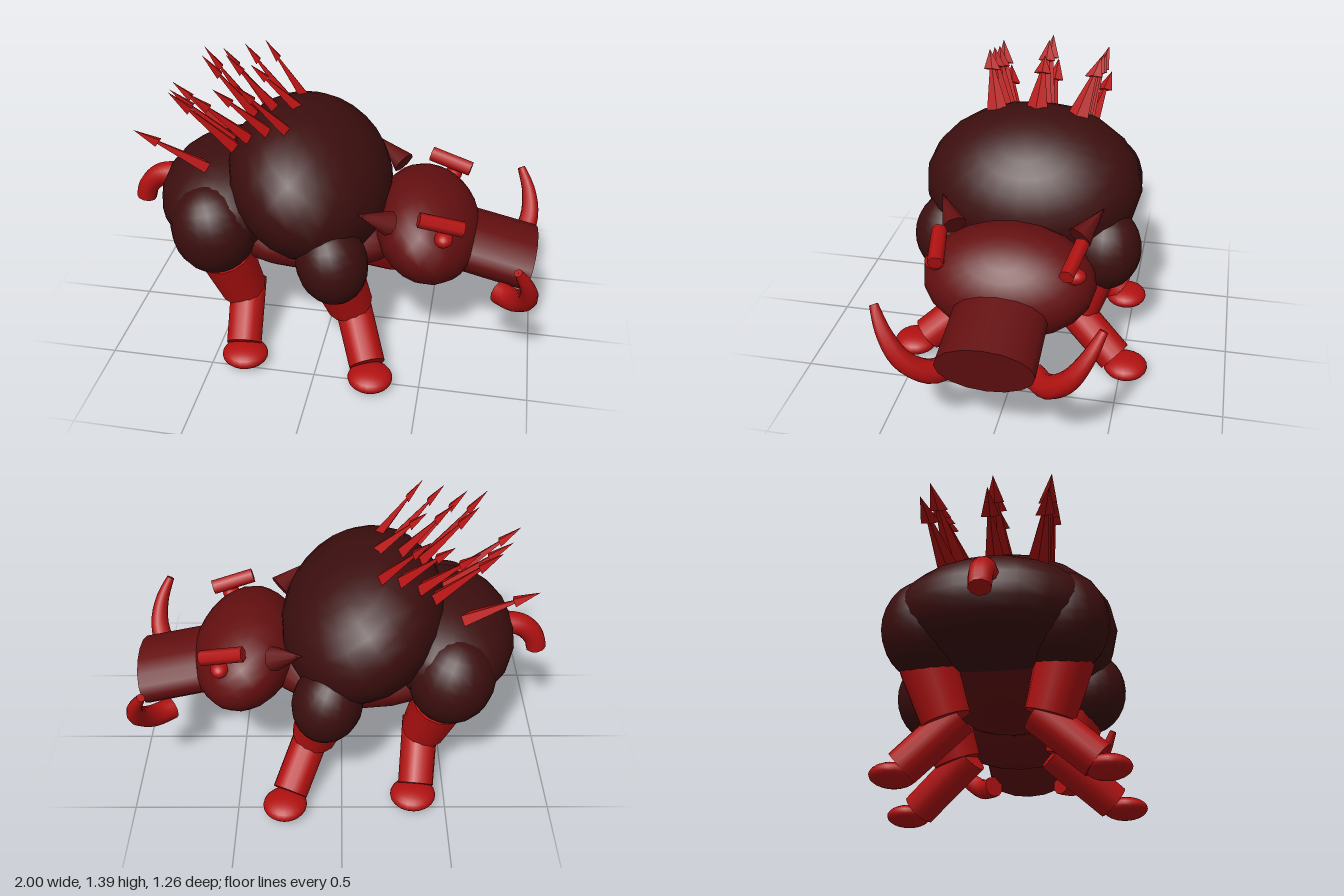
import * as THREE from 'three';
import { toCreasedNormals } from 'three/addons/utils/BufferGeometryUtils.js';

const V = (x, y, z) => new THREE.Vector3(x, y, z);

function material(name, color, extra = {}) {
  const m = new THREE.MeshStandardMaterial({ color, ...extra });
  m.name = name;
  return m;
}

// Tube whose radius follows a rule along its length, with flat closed ends
function taperedTube(points, radius, segments = 16, sides = 10) {
  const curve = new THREE.CatmullRomCurve3(points);
  const geo = new THREE.TubeGeometry(curve, segments, 1, sides);
  const pos = geo.attributes.position;
  const v = V(0, 0, 0);
  for (let i = 0; i <= segments; i++) {
    const end = i === 0 || i === segments;
    const inner = Math.min(Math.max(i, 1), segments - 1);
    const from = curve.getPointAt(i / segments);
    const to = curve.getPointAt(inner / segments);
    const r = end ? 0.0005 : radius(i / segments);
    for (let j = 0; j <= sides; j++) {
      const k = i * (sides + 1) + j;
      v.fromBufferAttribute(pos, k).sub(from).multiplyScalar(r).add(to);
      pos.setXYZ(k, v.x, v.y, v.z);
    }
  }
  return toCreasedNormals(geo, 0.9);
}

// Flat bristle: a tapering stem topped by a wider barbed point
function spikeGeometry(base, tip) {
  const at = (t) => base.clone().lerp(tip, t);
  const d = V(tip.x - base.x, tip.y - base.y, 0).normalize();
  const n = V(-d.y, d.x, 0);
  const neck = at(0.68);
  const rings = [[base, 0.055, 0.024], [neck, 0.014, 0.006], [neck, 0.042, 0.014], [tip, 0.0005, 0.0005]];
  const positions = [];
  const index = [];
  for (const [c, w, t] of rings) {
    for (const [a, b] of [[1, 0], [0, 1], [-1, 0], [0, -1]]) {
      const p = c.clone().addScaledVector(n, a * t);
      positions.push(p.x, p.y, p.z + b * w);
    }
  }
  for (let i = 0; i < rings.length - 1; i++) {
    for (let j = 0; j < 4; j++) {
      const a = i * 4 + j, b = i * 4 + (j + 1) % 4;
      index.push(a, b, b + 4, a, b + 4, a + 4);
    }
  }
  const geo = new THREE.BufferGeometry();
  geo.setAttribute('position', new THREE.Float32BufferAttribute(positions, 3));
  geo.setIndex(index);
  const flat = geo.toNonIndexed();
  flat.computeVertexNormals();
  return flat;
}

export function createModel() {
  const model = new THREE.Group();
  model.name = 'boar';
  const dark = material('dark hide', 0x3c0e0e);
  const mid = material('red hide', 0x640f10);
  const bright = material('bright red', 0xb31111, { side: THREE.DoubleSide });

  const ball = new THREE.SphereGeometry(1, 20, 14);

  function add(name, geo, mat) {
    const mesh = new THREE.Mesh(geo, mat);
    mesh.name = name;
    model.add(mesh);
    return mesh;
  }
  function blob(name, mat, center, radii, tilt = 0) {
    const mesh = add(name, ball, mat);
    mesh.position.set(...center);
    mesh.scale.set(...radii);
    mesh.rotation.z = tilt;
    return mesh;
  }
  // Cylinder or cone running from a to b
  function limb(name, mat, a, b, ra, rb, sides = 14) {
    const axis = b.clone().sub(a);
    const mesh = add(name, new THREE.CylinderGeometry(rb, ra, axis.length(), sides), mat);
    mesh.position.copy(a).add(b).multiplyScalar(0.5);
    mesh.quaternion.setFromUnitVectors(V(0, 1, 0), axis.normalize());
    return mesh;
  }

  // Body
  blob('hump', dark, [-0.1, 0.82, 0], [0.41, 0.337, 0.53], -0.58);
  blob('rump', dark, [-0.5, 0.71, 0], [0.33, 0.25, 0.45]);
  blob('belly', mid, [-0.1, 0.57, 0], [0.5, 0.175, 0.36]);

  // Head and snout
  blob('head', mid, [0.465, 0.61, 0], [0.27, 0.225, 0.395], -0.6);
  const snout = limb('snout', mid, V(0.6, 0.555, 0), V(0.962, 0.47, 0), 0.128, 0.13, 16);
  snout.scale.z = 1.67;

  // Tail
  add('tail', taperedTube(
    [V(-0.74, 0.76, 0), V(-0.86, 0.745, 0), V(-0.93, 0.68, 0), V(-0.957, 0.59, 0)],
    (u) => 0.06 - 0.012 * u), bright);

  for (const s of [1, -1]) {
    const side = s > 0 ? 'left' : 'right';
    const name = (part) => side + part;
    const P = (x, y, z) => V(x, y, s * z);

    // Haunch and shoulder
    blob(name('Haunch'), dark, [-0.51, 0.66, s * 0.3], [0.2, 0.225, 0.2], 0.2);
    blob(name('Shoulder'), dark, [0.065, 0.58, s * 0.38], [0.165, 0.2, 0.175], 0.25);

    // Legs
    limb(name('FrontUpperLeg'), bright, P(0.07, 0.52, 0.34), P(0.13, 0.28, 0.265), 0.13, 0.112);
    limb(name('FrontLowerLeg'), bright, P(0.12, 0.3, 0.2), P(0.25, 0.085, 0.47), 0.088, 0.085);
    blob(name('FrontFoot'), bright, [0.272, 0.058, s * 0.525], [0.105, 0.05, 0.105]);
    limb(name('RearUpperLeg'), bright, P(-0.46, 0.52, 0.3), P(-0.405, 0.28, 0.225), 0.13, 0.112);
    limb(name('RearLowerLeg'), bright, P(-0.39, 0.3, 0.17), P(-0.36, 0.085, 0.42), 0.088, 0.085);
    blob(name('RearFoot'), bright, [-0.345, 0.058, s * 0.46], [0.11, 0.05, 0.105]);

    // Face
    blob(name('Eye'), bright, [0.56, 0.72, s * 0.31], [0.042, 0.036, 0.05]);
    limb(name('Brow'), bright, P(0.445, 0.815, 0.32), P(0.645, 0.765, 0.285), 0.036, 0.036, 6);
    limb(name('Ear'), mid, P(0.31, 0.765, 0.29), P(0.175, 0.85, 0.38), 0.06, 0.001, 8);
    add(name('Tusk'), taperedTube(
      [P(0.8, 0.375, 0.16), P(0.9, 0.385, 0.25), P(0.955, 0.47, 0.35), P(0.945, 0.585, 0.425), P(0.88, 0.725, 0.495)],
      (u) => 0.056 - 0.042 * u * u), bright);
  }

  // Bristles: base x, base y, tip x, tip y
  const sideRow = [[-0.55, 0.91, -0.866, 1.12], [-0.42, 1.03, -0.685, 1.32], [-0.35, 1.08, -0.59, 1.32],
    [-0.26, 1.12, -0.48, 1.35], [-0.17, 1.13, -0.377, 1.375]];
  const middleRow = [[-0.46, 0.95, -0.78, 1.205], [-0.36, 1.1, -0.61, 1.39],
    [-0.27, 1.15, -0.495, 1.4], [-0.16, 1.16, -0.38, 1.36]];
  for (const [bx, by, tx, ty] of middleRow) {
    add('middleBristle', spikeGeometry(V(bx, by, 0), V(tx, ty, 0)), bright);
  }
  for (const s of [1, -1]) {
    for (const [bx, by, tx, ty] of sideRow) {
      add('sideBristle', spikeGeometry(V(bx, by, s * 0.19), V(tx, ty, s * 0.275)), bright);
    }
  }
  return model;
}
